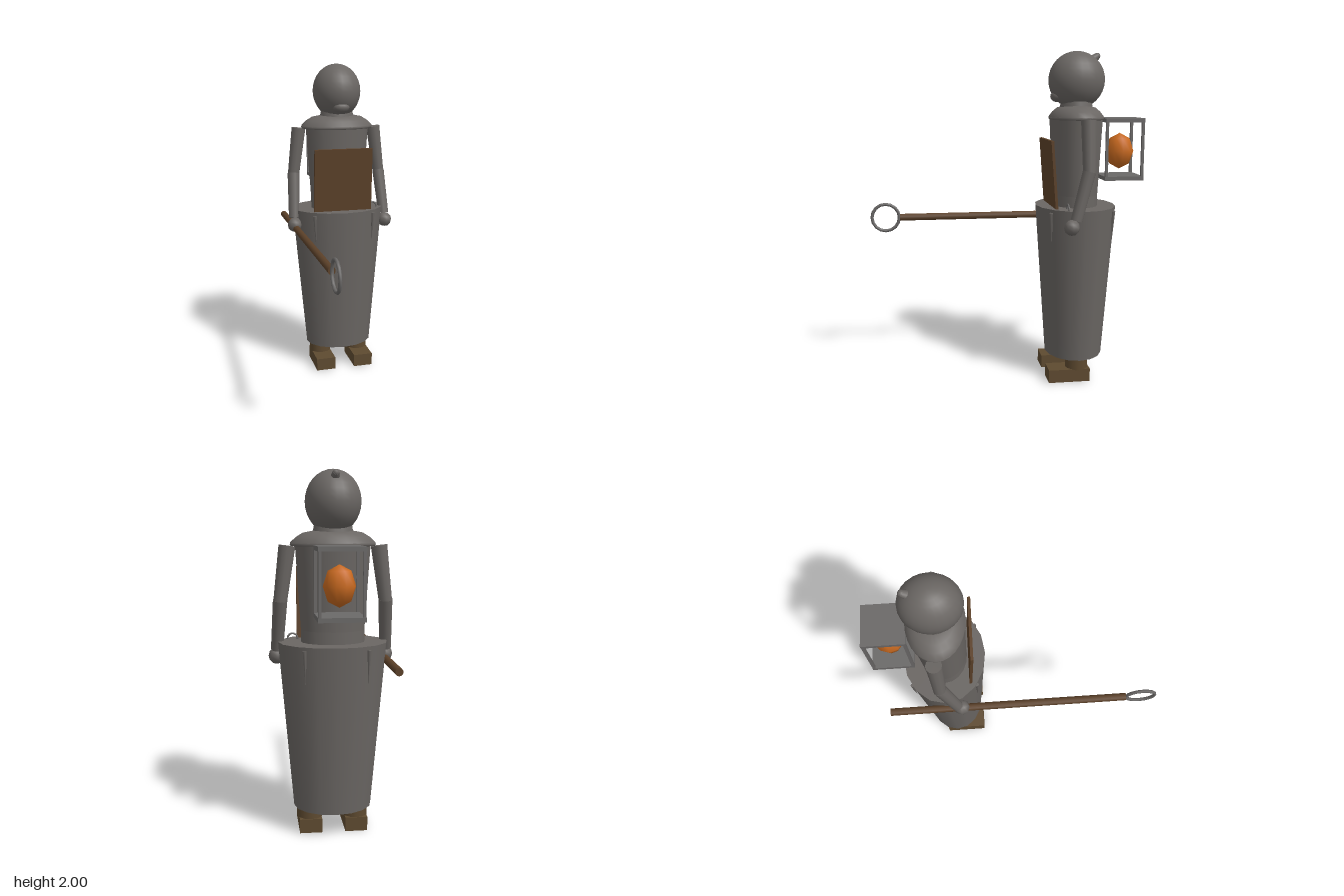
import * as THREE from 'three';

const V = (x, y, z) => new THREE.Vector3(x, y, z);

export function createModel() {
  const root = new THREE.Group();
  const mat = (name, color) => new THREE.MeshStandardMaterial({ name, color });
  const cloth = mat('grey cloth', 0x6a6663);
  const metal = mat('grey metal', 0x6b6968);
  const wood = mat('brown wood', 0x5c4129);
  const leather = mat('boot leather', 0x5e4a30);
  const glow = mat('orange glow', 0xc8691f);

  const add = (name, geo, material, x = 0, y = 0, z = 0) => {
    const m = new THREE.Mesh(geo, material);
    m.name = name;
    m.position.set(x, y, z);
    root.add(m);
    return m;
  };
  // Round limb between two points, r1 at a and r2 at b
  const rod = (name, a, b, r1, r2, material, sides = 12) => {
    const d = b.clone().sub(a);
    const m = add(name, new THREE.CylinderGeometry(r2, r1, d.length(), sides), material);
    m.position.copy(a).add(b).multiplyScalar(0.5);
    m.quaternion.setFromUnitVectors(V(0, 1, 0), d.normalize());
    return m;
  };
  // Upright oval drum around the body axis
  const CZ = -0.43;
  const drum = (name, y0, y1, rx0, rx1, depth, sides) => {
    const g = new THREE.CylinderGeometry(rx1, rx0, y1 - y0, sides).scale(1, 1, depth);
    return add(name, g, cloth, 0, (y0 + y1) / 2, CZ);
  };

  // Body
  drum('skirt', 0.145, 1.08, 0.218, 0.3, 0.81, 16);
  drum('waistband', 1.06, 1.15, 0.175, 0.175, 0.77, 20);
  drum('torso', 1.1, 1.61, 0.172, 0.205, 0.77, 20);
  drum('neck', 1.62, 1.72, 0.12, 0.1, 0.9, 16);

  // Shoulder cape with a rolled hem
  const cape = new THREE.LatheGeometry(
    [[0.225, 1.6], [0.232, 1.615], [0.2, 1.645], [0.162, 1.668], [0.1, 1.68], [0, 1.68]]
      .map(([x, y]) => new THREE.Vector2(x, y)), 24).scale(1, 1, 0.7);
  const capeMat = cloth.clone();
  capeMat.side = THREE.DoubleSide;
  capeMat.name = 'cape cloth';
  add('cape', cape, capeMat, 0, 0, CZ);
  add('capeHem', new THREE.TorusGeometry(0.222, 0.011, 6, 28).rotateX(Math.PI / 2).scale(1, 1, 0.7),
    cloth, 0, 1.607, CZ);

  // Hooded head, with a small muzzle and a bent tip at the back
  add('head', new THREE.SphereGeometry(0.17, 24, 16).scale(0.89, 1, 1), cloth, 0, 1.83, CZ);
  add('muzzle', new THREE.SphereGeometry(1, 14, 8).scale(0.055, 0.035, 0.04), cloth, 0, 1.735, -0.312);
  rod('hoodTip', V(0, 1.93, -0.5), V(0, 1.975, -0.56), 0.035, 0.018, cloth, 10);
  add('hoodTipEnd', new THREE.SphereGeometry(0.02, 8, 6), cloth, 0, 1.97, -0.553);

  for (const s of [-1, 1]) {
    // Arms
    rod('upperArm', V(s * 0.248, 1.6, -0.445), V(s * 0.287, 1.3, -0.445), 0.045, 0.037, cloth);
    add('elbow', new THREE.SphereGeometry(0.036, 10, 8), cloth, s * 0.287, 1.3, -0.44);
    rod('forearm', V(s * 0.287, 1.31, -0.445), V(s * 0.303, 1.03, -0.37), 0.039, 0.034, cloth);
    add('hand', new THREE.SphereGeometry(0.047, 8, 6), cloth, s * 0.303, 0.99, -0.345);

    // Legs and boots
    rod('leg', V(s * 0.125, 0.1, -0.43), V(s * 0.115, 0.2, -0.43), 0.06, 0.06, cloth);
    add('bootShaft', new THREE.CylinderGeometry(0.071, 0.071, 0.065, 12), leather, s * 0.128, 0.108, -0.427);
    add('boot', new THREE.BoxGeometry(0.125, 0.08, 0.255), leather, s * 0.128, 0.04, -0.372);

    // Narrow pleats running down the skirt
    for (const deg of [40, 145]) {
      const a = THREE.MathUtils.degToRad(deg);
      const at = (r, y) => V(s * r * Math.sin(a), y, CZ + 0.81 * r * Math.cos(a));
      rod('pleat', at(0.29, 0.88), at(0.298, 1.06), 0.001, 0.012, cloth, 6);
    }
  }

  // Board leaning forward over the chest
  const board = add('chestBoard', new THREE.BoxGeometry(0.375, 0.46, 0.016), wood, 0, 1.25, -0.268);
  board.rotation.x = 0.075;
  add('beltRing', new THREE.TorusGeometry(0.028, 0.005, 6, 14), metal, 0.215, 1.085, -0.34);

  // Staff with a ring at its front end
  rod('staff', V(-0.3, 0.97, -0.77), V(-0.3, 0.97, 0.64), 0.022, 0.022, wood, 10);
  add('staffRing', new THREE.TorusGeometry(0.086, 0.01, 6, 16).rotateY(Math.PI / 2), metal, -0.3, 0.97, 0.73);

  // Open lantern carried on the back
  const LZ = -0.706;
  for (const y of [1.247, 1.594])
    add('lanternPlate', new THREE.BoxGeometry(0.24, 0.024, 0.238), metal, 0, y, LZ);
  for (const x of [-0.111, 0.111])
    for (const z of [-0.11, 0.11])
      add('lanternPost', new THREE.BoxGeometry(0.016, 0.34, 0.016), metal, x, 1.42, LZ + z);
  add('lanternFlame', new THREE.SphereGeometry(0.085, 10, 4).scale(1, 1.29, 1), glow, 0, 1.405, LZ);

  return root;
}
